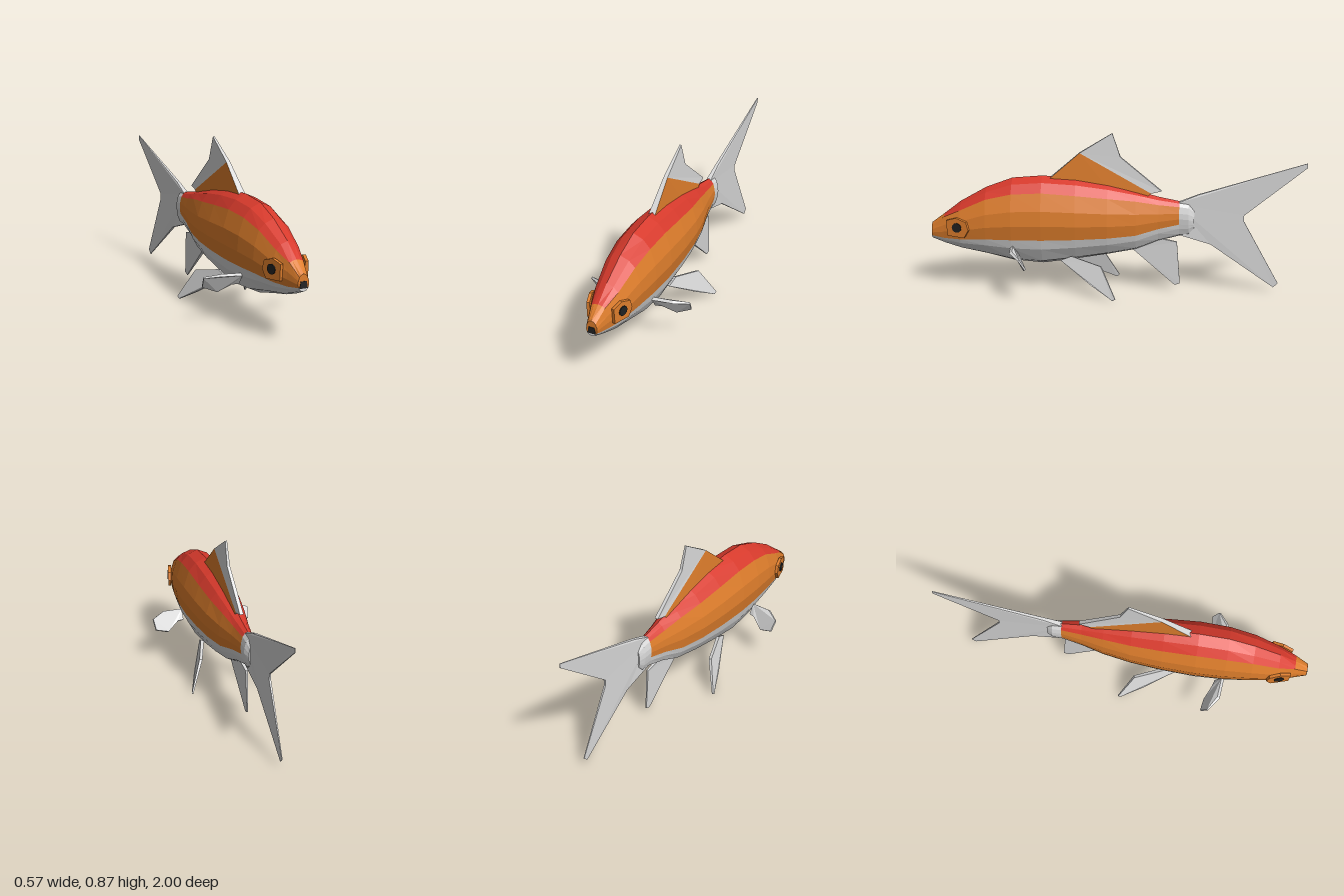
import * as THREE from 'three';

const mat = (name, color) => {
  const m = new THREE.MeshStandardMaterial({ color });
  m.name = name;
  return m;
};

// Unshared corners give flat facets
function facetMesh(name, verts, material) {
  const geo = new THREE.BufferGeometry();
  geo.setAttribute('position', new THREE.Float32BufferAttribute(verts.flat(), 3));
  geo.computeVertexNormals();
  const mesh = new THREE.Mesh(geo, material);
  mesh.name = name;
  return mesh;
}

// Plate from a 3D outline; each point is [x, y, z, halfThickness]
function plate(name, outline, face, edge = face) {
  const pts = outline.map(p => new THREE.Vector3(p[0], p[1], p[2]));
  const n = new THREE.Vector3();
  pts.forEach((p, i) => n.add(p.clone().cross(pts[(i + 1) % pts.length])));
  n.normalize();
  const u = new THREE.Vector3(0.31, 0.87, 0.39).cross(n).normalize();
  const v = n.clone().cross(u);
  const flat = pts.map(p => new THREE.Vector2(p.dot(u), p.dot(v)));
  const side = s => pts.map((p, i) => p.clone().addScaledVector(n, s * outline[i][3]).toArray());
  const a = side(1), b = side(-1), faces = [], edges = [];
  for (const [i, j, k] of THREE.ShapeUtils.triangulateShape(flat, []))
    faces.push(a[i], a[j], a[k], b[k], b[j], b[i]);
  pts.forEach((p, i) => {
    const j = (i + 1) % pts.length;
    edges.push(b[i], b[j], a[j], b[i], a[j], a[i]);
  });
  const mesh = facetMesh(name, [...faces, ...edges], [face, edge]);
  mesh.geometry.addGroup(0, faces.length, 0);
  mesh.geometry.addGroup(faces.length, edges.length, 1);
  return mesh;
}

// Fin lying in the middle plane; points are [z, y, halfThickness]
const midFin = (name, pts, face, edge) =>
  plate(name, pts.map(([z, y, t]) => [0, y, z, t]), face, edge);

// Body stations: z, half width, top, back/flank line, flank/belly line, bottom
const STATIONS = [
  [1.0, 0.03, 0.362, 0.347, 0.295, 0.275],
  [0.93, 0.052, 0.415, 0.403, 0.287, 0.248],
  [0.84, 0.085, 0.485, 0.447, 0.29, 0.22],
  [0.7, 0.112, 0.565, 0.515, 0.3, 0.19],
  [0.56, 0.128, 0.618, 0.55, 0.303, 0.156],
  [0.4, 0.133, 0.632, 0.56, 0.305, 0.143],
  [0.22, 0.126, 0.622, 0.547, 0.31, 0.17],
  [0.05, 0.11, 0.595, 0.53, 0.317, 0.2],
  [-0.1, 0.083, 0.557, 0.513, 0.328, 0.23],
  [-0.22, 0.056, 0.525, 0.49, 0.36, 0.28],
  [-0.33, 0.038, 0.503, 0.477, 0.382, 0.31],
  [-0.38, 0.036, 0.495, 0.47, 0.38, 0.315],
  [-0.41, 0.02, 0.46, 0.445, 0.375, 0.35],
];
const WIDTHS = [0, 0.43, 0.73, 0.95, 1, 0.89, 0.78, 0.47, 0];

function halfRing([z, w, top, back, belly, bottom]) {
  const mix = THREE.MathUtils.lerp;
  const ys = [top, mix(top, back, 0.36), back, mix(back, belly, 0.36), mix(back, belly, 0.68),
    belly, mix(belly, bottom, 0.34), mix(belly, bottom, 0.81), bottom];
  return WIDTHS.map((k, i) => [k * w, ys[i], z]);
}

function buildBody(red, orange, white) {
  const rings = STATIONS.map(halfRing);
  const back = [], flanks = [], belly = [];
  const flip = ([x, y, z]) => [-x, y, z];
  const quad = (out, a, b, c, d) => out.push(a, b, c, a, c, d);
  const last = rings.length - 1;
  for (let s = 0; s < last; s++) {
    for (let i = 0; i < 8; i++) {
      const out = s >= 10 || i > 4 ? belly : i > 1 || s === 0 ? flanks : back;
      const a = rings[s][i], b = rings[s][i + 1], c = rings[s + 1][i + 1], d = rings[s + 1][i];
      quad(out, a, b, c, d);
      quad(out, flip(d), flip(c), flip(b), flip(a));
    }
  }
  // Snout and tail-root caps
  for (let i = 0; i < 8; i++) {
    const f = rings[0], e = rings[last];
    quad(i > 4 ? belly : flanks, flip(f[i]), flip(f[i + 1]), f[i + 1], f[i]);
    quad(belly, e[i], e[i + 1], flip(e[i + 1]), flip(e[i]));
  }
  return [facetMesh('back', back, red), facetMesh('flanks', flanks, orange),
    facetMesh('belly', belly, white)];
}

export function createModel() {
  const red = mat('red', 0xd83a2c);
  const orange = mat('orange', 0xdf7e2c);
  const white = mat('white', 0xd8d8d8);
  const black = mat('black', 0x222222);
  const fish = new THREE.Group();
  fish.name = 'fish';
  fish.add(...buildBody(red, orange, white));

  // Mouth
  fish.add(plate('mouth', [[-0.022, 0.291, 1, 0.003], [0.022, 0.291, 1, 0.003],
    [0.016, 0.326, 1, 0.003], [-0.016, 0.326, 1, 0.003]], black));

  // Dorsal fin: coloured lower panel, pale tip
  fish.add(midFin('dorsalFinBase', [[0.36, 0.62, 0.018], [0.2, 0.76, 0.011],
    [-0.18, 0.545, 0.014], [-0.15, 0.52, 0.016], [0.05, 0.57, 0.018]], orange, white));
  fish.add(midFin('dorsalFinTip', [[0.2, 0.76, 0.011], [0.027, 0.868, 0.005],
    [-0.016, 0.74, 0.008], [-0.235, 0.557, 0.01], [-0.18, 0.545, 0.014]], white));

  // Tail and anal fins
  fish.add(midFin('tailFin', [[-0.31, 0.49, 0.014], [-0.43, 0.54, 0.008], [-1, 0.72, 0.002],
    [-1, 0.695, 0.002], [-0.675, 0.43, 0.005], [-0.675, 0.395, 0.005], [-0.865, 0.05, 0.002],
    [-0.84, 0.027, 0.002], [-0.5, 0.265, 0.007], [-0.33, 0.318, 0.014]], white));
  fish.add(midFin('analFin', [[-0.08, 0.235, 0.01], [-0.2, 0.3, 0.01], [-0.32, 0.275, 0.006],
    [-0.338, 0.04, 0.003], [-0.31, 0.03, 0.003]], white));

  for (const s of [1, -1]) {
    const sideName = s > 0 ? 'left' : 'right';
    const paired = (name, pts, face) =>
      fish.add(plate(sideName + name, pts.map(([x, y, z, t]) => [s * x, y, z, t]), face));

    paired('PelvicFin', [[0.06, 0.178, 0.3, 0.009], [0.07, 0.205, 0.24, 0.009],
      [0.127, 0.17, 0.08, 0.008], [0.2, 0.013, 0, 0.004], [0.197, 0.003, 0.015, 0.004],
      [0.145, 0.068, 0.13, 0.008]], white);

    paired('PectoralFin', [[0.1, 0.262, 0.56, 0.009], [0.21, 0.266, 0.55, 0.009],
      [0.283, 0.25, 0.5, 0.005], [0.275, 0.195, 0.465, 0.005], [0.2, 0.168, 0.48, 0.008],
      [0.135, 0.21, 0.515, 0.009], [0.1, 0.21, 0.525, 0.009]], white);

    // Eye surround and pupil share one slanted plane
    const cheek = z => 0.068 + (0.91 - z) * 0.28;
    const rim = [[0.91, 0.395], [0.855, 0.413], [0.8, 0.395], [0.787, 0.35], [0.812, 0.306],
      [0.905, 0.311]];
    paired('EyeSurround', rim.map(([z, y]) => [cheek(z), y, z, 0.008]), orange);
    const pupil = Array.from({ length: 12 }, (_, i) => {
      const a = i * Math.PI / 6, z = 0.853 + 0.026 * Math.cos(a);
      return [cheek(z) + 0.009, 0.36 + 0.026 * Math.sin(a), z, 0.004];
    });
    paired('Eye', pupil, black);
  }
  return fish;
}
